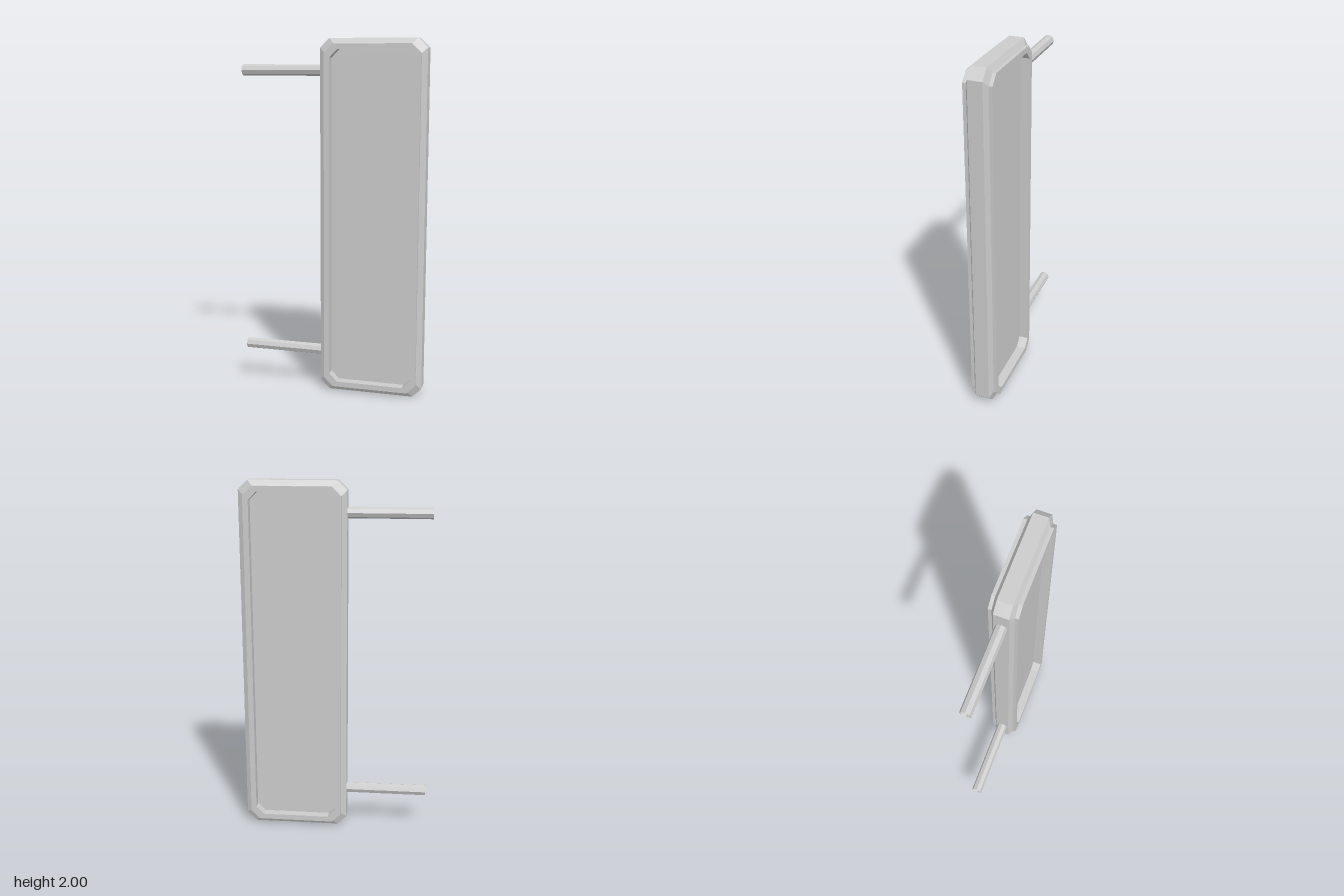
import * as THREE from 'three';

const material = new THREE.MeshStandardMaterial({ color: 0xcccccc, flatShading: true });
const rodMaterial = new THREE.MeshStandardMaterial({ color: 0xcccccc, flatShading: true, side: THREE.DoubleSide });

const CENTER_X = 0.23, HALF_W = 0.295, HALF_H = 1;

// Rectangle with cut corners, counter-clockwise, shrunk by an inset
function cutRectangle(inset, cut) {
  const w = HALF_W - inset, h = HALF_H - inset;
  return [
    [w, -h + cut], [w, h - cut], [w - cut, h], [-w + cut, h],
    [-w, h - cut], [-w, -h + cut], [-w + cut, -h], [w - cut, -h],
  ];
}

// Skin a row of cut rectangles, each given as [inset, cut, z]
function loft(rings) {
  const positions = [];
  const loops = rings.map(([inset, cut, z]) => cutRectangle(inset, cut).map(([x, y]) => [x, y, z]));
  for (let r = 0; r + 1 < loops.length; r++) {
    for (let i = 0; i < 8; i++) {
      const j = (i + 1) % 8;
      const a = loops[r][i], b = loops[r][j], c = loops[r + 1][j], d = loops[r + 1][i];
      positions.push(...a, ...b, ...c, ...a, ...c, ...d);
    }
  }
  const geometry = new THREE.BufferGeometry();
  geometry.setAttribute('position', new THREE.Float32BufferAttribute(positions, 3));
  geometry.computeVertexNormals();
  return geometry;
}

function addMesh(parent, name, geometry, mat = material) {
  const mesh = new THREE.Mesh(geometry, mat);
  mesh.name = name;
  parent.add(mesh);
  return mesh;
}

export function createModel() {
  const model = new THREE.Group();
  model.name = 'wallSign';

  const board = new THREE.Group();
  board.name = 'board';
  board.position.set(CENTER_X, 1, 0);
  model.add(board);

  // Bevelled outer casing
  addMesh(board, 'casing', loft([
    [0.03, 0.05, -0.058], [0, 0.052, -0.04], [0, 0.052, 0.04], [0.03, 0.05, 0.058],
  ]));

  // Raised rim and recessed panel on both faces
  const panelShape = new THREE.Shape(cutRectangle(0.06, 0.045).map(([x, y]) => new THREE.Vector2(x, y)));
  for (const side of ['front', 'back']) {
    const face = new THREE.Group();
    face.name = side + 'Face';
    if (side === 'back') face.rotation.y = Math.PI;
    board.add(face);
    addMesh(face, side + 'Rim', loft([
      [0.03, 0.05, 0.058], [0.03, 0.05, 0.077], [0.06, 0.045, 0.077], [0.06, 0.045, 0.025],
    ]));
    addMesh(face, side + 'Panel', new THREE.ShapeGeometry(panelShape)).position.z = 0.025;
  }

  // Open mounting rods
  const rodLength = 0.46;
  for (const [name, y] of [['upperRod', 1.828], ['lowerRod', 0.222]]) {
    const rod = addMesh(model, name, new THREE.CylinderGeometry(0.031, 0.031, rodLength, 8, 1, true), rodMaterial);
    rod.rotation.z = Math.PI / 2;
    rod.position.set(-0.525 + rodLength / 2, y, 0);
  }
  return model;
}
